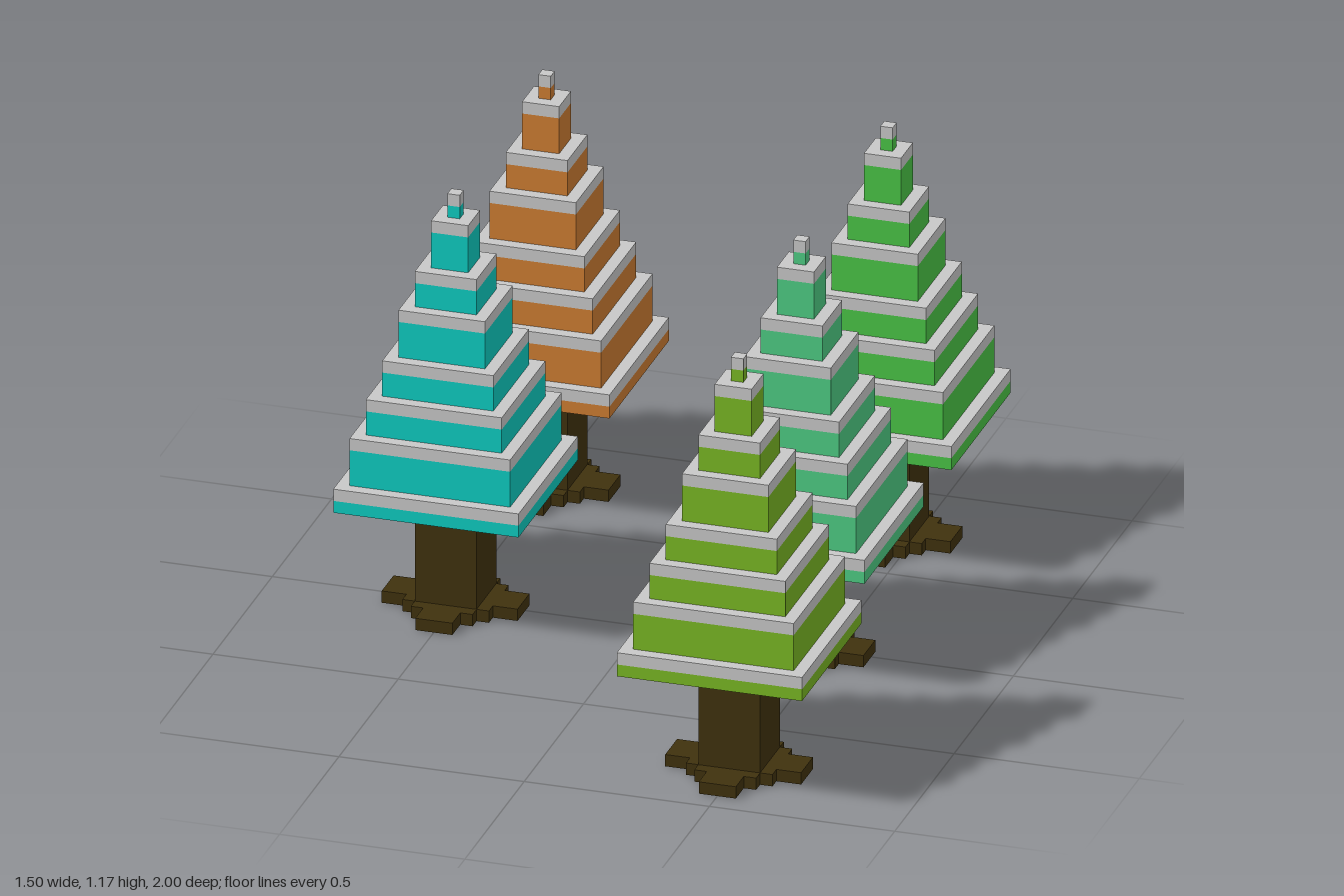
import * as THREE from 'three';

const U = 1 / 30; // one block

const material = (name, color) => {
  const m = new THREE.MeshStandardMaterial({ color });
  m.name = name;
  return m;
};

// Box measured in blocks, standing on height y
function block(name, mat, w, h, d, x, y, z) {
  const mesh = new THREE.Mesh(new THREE.BoxGeometry(w * U, h * U, d * U), mat);
  mesh.position.set(x * U, (y + h / 2) * U, z * U);
  mesh.name = name;
  return mesh;
}

function makeTree(name, leaves, snow, bark) {
  const tree = new THREE.Group();
  tree.name = name;

  // Trunk with four stepped roots
  tree.add(block('trunk', bark, 5, 10, 5, 0, 0, 0));
  for (let i = 0; i < 4; i++) {
    const root = new THREE.Group();
    root.name = 'root';
    root.add(block('rootBase', bark, 5, 1, 1, 0, 0, 3));
    root.add(block('rootTip', bark, 3, 1, 2, 0, 0, 4.5));
    root.rotation.y = i * Math.PI / 2;
    tree.add(root);
  }

  // Square tiers, each two blocks narrower and topped with snow
  let y = 10;
  [2, 4, 3, 3, 4, 3, 4, 2].forEach((h, i) => {
    const w = 15 - 2 * i;
    tree.add(block('foliageTier', leaves, w, h - 1, w, 0, y, 0));
    tree.add(block('snowLayer', snow, w, 1, w, 0, y + h - 1, 0));
    y += h;
  });
  return tree;
}

export function createModel() {
  const model = new THREE.Group();
  model.name = 'snowyTrees';
  const snow = material('snow', 0xc8c8c8);
  const bark = material('bark', 0x40320e);

  // name, colour, centre x and z in blocks
  const trees = [
    ['orangeTree', 0xcd7d32, -15, -22.5],
    ['greenTree', 0x4ac446, 13, -21.5],
    ['tealTree', 0x0ecbc0, -15, 0.5],
    ['mintTree', 0x4ecb83, 13, 0.5],
    ['limeTree', 0x79b723, 15, 22.5],
  ];
  for (const [name, color, x, z] of trees) {
    const tree = makeTree(name, material(name + 'Foliage', color), snow, bark);
    tree.position.set(x * U, 0, z * U);
    model.add(tree);
  }
  return model;
}
